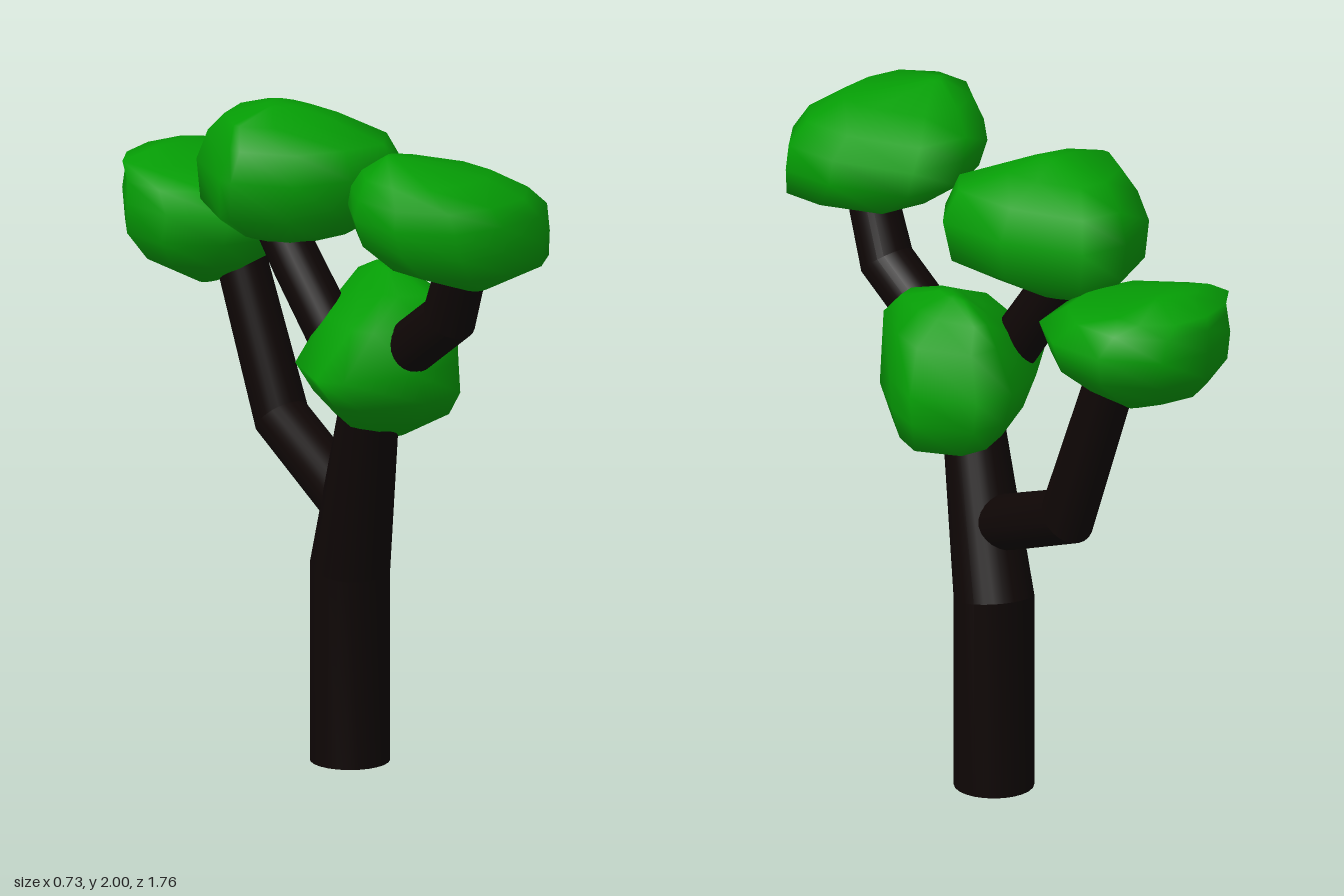
import * as THREE from 'three';
import { toCreasedNormals } from 'three/addons/utils/BufferGeometryUtils.js';

const SIDES = 24;
const bark = new THREE.MeshStandardMaterial({ color: 0x0e0605 });
const leaf = new THREE.MeshStandardMaterial({ color: 0x059d05 });

// Skin a stack of equal rings and close both ends with fans
function skin(rings, start, end) {
  const n = rings[0].length, first = rings.length * n, last = first + 1;
  const index = [];
  for (let k = 0; k < n; k++) {
    const m = (k + 1) % n;
    for (let r = 0; r < first - n; r += n) {
      index.push(r + k, r + m, r + n + k, r + m, r + n + m, r + n + k);
    }
    index.push(first, m, k, last, first - n + k, first - n + m);
  }
  const geo = new THREE.BufferGeometry().setFromPoints([...rings.flat(), start, end]);
  geo.setIndex(index);
  geo.computeVertexNormals();
  return geo;
}

// Round limb along a polyline, with mitred rings at the bends
function limb(name, path, radii) {
  const pts = path.map((p) => new THREE.Vector3(...p));
  const dirs = pts.slice(1).map((p, i) => p.clone().sub(pts[i]).normalize());
  const turn = new THREE.Quaternion().setFromUnitVectors(new THREE.Vector3(0, 1, 0), dirs[0]);
  const rings = [Array.from({ length: SIDES }, (_, k) => {
    const a = (k / SIDES) * Math.PI * 2;
    return new THREE.Vector3(Math.sin(a), 0, Math.cos(a))
      .multiplyScalar(radii[0]).applyQuaternion(turn).add(pts[0]);
  })];
  for (let i = 1; i < pts.length; i++) {
    const d = dirs[i - 1];
    const n = d.clone().add(dirs[i] ?? d).normalize();
    rings.push(rings[i - 1].map((v) => {
      const t = pts[i].clone().sub(v).dot(n) / d.dot(n);
      return v.clone().addScaledVector(d, t).sub(pts[i])
        .multiplyScalar(radii[i] / radii[i - 1]).add(pts[i]);
    }));
  }
  const geo = skin(rings, pts[0], pts[pts.length - 1]);
  const mesh = new THREE.Mesh(toCreasedNormals(geo, 0.3), bark);
  mesh.name = name;
  return mesh;
}

// Leaf clump: one outline seen from above (0 to 1 in x and z), fitted at each
// level, top to bottom, to the span [y, xMin, xMax, zMin, zMax]
function clump(name, outline, levels) {
  const at = ([y, x0, x1, z0, z1], u, w) =>
    new THREE.Vector3(x0 + (x1 - x0) * u, y, z0 + (z1 - z0) * w);
  const rings = levels.map((level) => outline.map(([u, w]) => at(level, u, w)));
  const geo = skin(rings, at(levels[0], 0.5, 0.5), at(levels[levels.length - 1], 0.5, 0.5));
  const mesh = new THREE.Mesh(geo, leaf);
  mesh.name = name;
  return mesh;
}

export function createModel() {
  const tree = new THREE.Group();
  tree.name = 'tree';

  // Trunk and branches
  tree.add(
    limb('trunk', [[0.07, 0, 0.015], [0.07, 0.59, 0.015], [-0.01, 1.13, 0.19], [-0.02, 1.23, 0.225]],
      [0.118, 0.118, 0.088, 0.082]),
    limb('frontBranch', [[-0.015, 1.2, 0.18], [-0.02, 1.475, 0.55], [-0.045, 1.76, 0.67]],
      [0.08, 0.08, 0.072]),
    limb('middleBranch', [[-0.01, 1.12, 0.19], [-0.05, 1.51, -0.08], [-0.06, 1.72, -0.23]],
      [0.08, 0.075, 0.07]),
    limb('backBranch', [[0.03, 0.795, 0.06], [0.125, 0.955, -0.345], [0.1, 1.5, -0.53]],
      [0.084, 0.082, 0.074]),
  );

  // Leaf clumps
  tree.add(
    clump('frontLeaves',
      [[0, 0.38], [0.19, 0.13], [0.5, 0], [0.83, 0.06], [1, 0.48],
        [1, 0.8], [0.79, 0.97], [0.5, 1], [0.2, 0.94], [0, 0.69]],
      [[1.998, -0.24, -0.19, 0.5, 0.55], [1.95, -0.34, 0.01, 0.4, 0.77],
        [1.89, -0.36, 0.11, 0.33, 0.855], [1.83, -0.37, 0.175, 0.305, 0.875],
        [1.75, -0.35, 0.175, 0.325, 0.885], [1.675, -0.28, 0.17, 0.43, 0.86],
        [1.615, -0.12, -0.055, 0.69, 0.77]]),
    clump('middleLeaves',
      [[0, 0.52], [0.2, 0.16], [0.55, 0], [0.83, 0.05], [1, 0.45],
        [1, 0.84], [0.8, 1], [0.52, 0.96], [0.2, 0.86], [0, 0.6]],
      [[1.985, -0.1, 0, -0.2, -0.1], [1.95, -0.23, 0.09, -0.325, -0.01],
        [1.89, -0.27, 0.19, -0.42, 0.13], [1.8, -0.305, 0.24, -0.46, 0.155],
        [1.68, -0.3, 0.225, -0.435, 0.125], [1.605, -0.19, 0.1, -0.35, 0.025],
        [1.56, -0.06, 0.02, -0.19, -0.1]]),
    clump('backLeaves',
      [[0, 0.37], [0.2, 0.13], [0.5, 0], [0.8, 0.05], [1, 0.32],
        [1, 0.64], [0.82, 0.9], [0.5, 1], [0.22, 0.92], [0, 0.66]],
      [[1.73, -0.05, 0.12, -0.745, -0.68], [1.7, -0.14, 0.245, -0.85, -0.575],
        [1.66, -0.18, 0.295, -0.86, -0.38], [1.6, -0.2, 0.345, -0.88, -0.29],
        [1.51, -0.2, 0.325, -0.855, -0.33], [1.425, -0.14, 0.22, -0.78, -0.4],
        [1.345, 0, 0.09, -0.585, -0.54]]),
    clump('lowerLeaves',
      [[0, 0.72], [0.14, 0.37], [0.4, 0.12], [0.65, 0], [0.85, 0.03],
        [1, 0.35], [0.9, 0.62], [0.68, 0.95], [0.4, 1], [0.06, 0.86]],
      [[1.52, 0.09, 0.15, 0.065, 0.19], [1.475, 0, 0.22, -0.03, 0.34],
        [1.405, -0.165, 0.3, -0.065, 0.415], [1.275, -0.3, 0.36, -0.12, 0.43],
        [1.18, -0.225, 0.34, -0.1, 0.425], [1.095, -0.125, 0.325, -0.05, 0.345],
        [1.025, 0.06, 0.125, 0.155, 0.22]]),
  );
  return tree;
}
